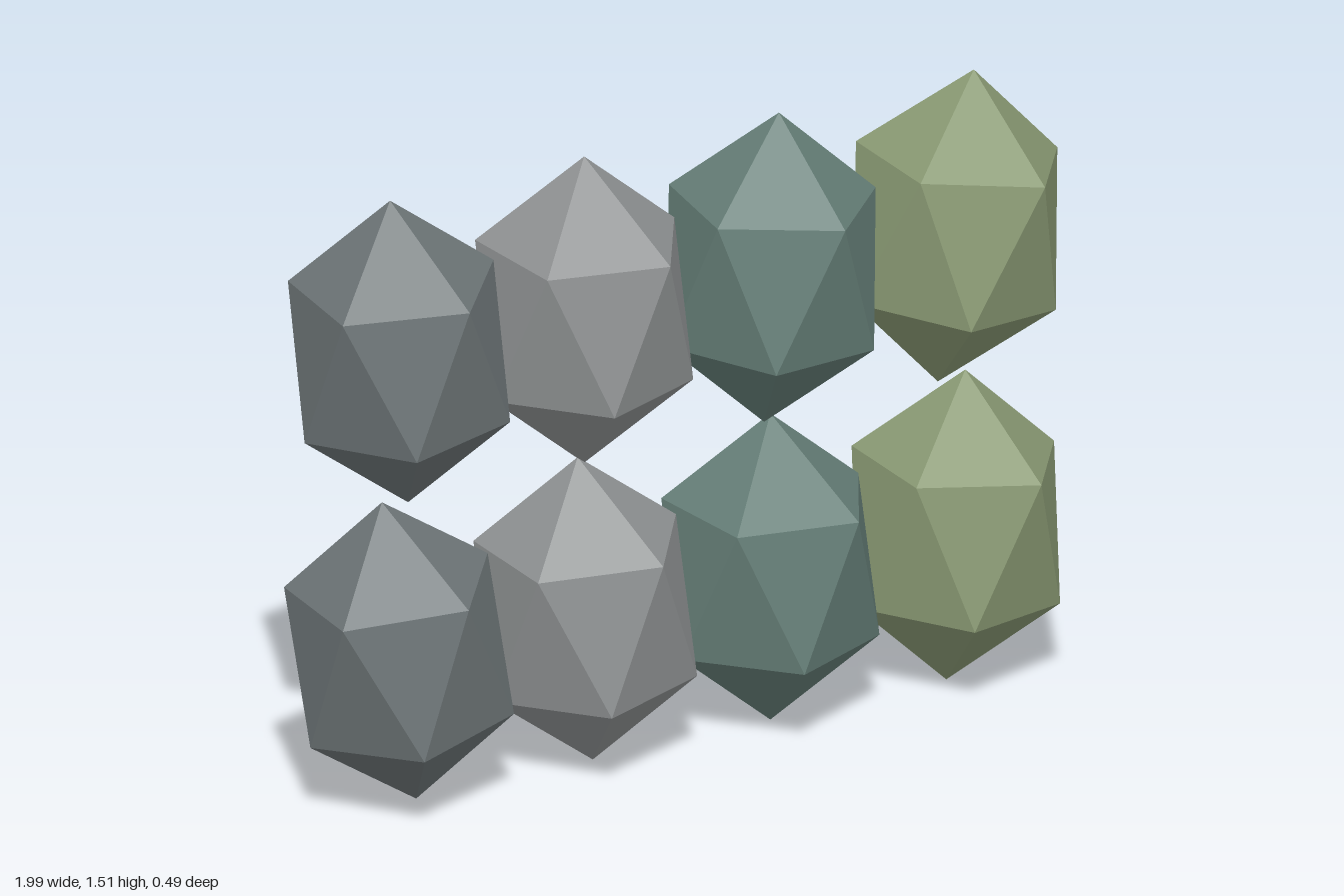
import * as THREE from 'three';

// Each column shares one stone colour
const COLORS = [0x6e7678, 0x909394, 0x667f78, 0x8a9a74];

// Stones: column, centre x, centre y, lean (about z), turn in degrees (about the long axis)
const STONES = [
  [0, -0.755, 1.133, 0.063, 5],
  [1, -0.263, 1.133, 0, -4],
  [2, 0.235, 1.133, -0.052, 8],
  [3, 0.725, 1.133, -0.126, 0],
  [0, -0.755, 0.389, 0.12, 3],
  [1, -0.26, 0.389, 0.053, 0],
  [2, 0.232, 0.389, 0, -6],
  [3, 0.725, 0.389, -0.066, 0],
];

// Icosahedron standing on a vertex, stretched upward
function stoneGeometry() {
  const g = new THREE.IcosahedronGeometry(1, 0);
  g.rotateZ(-Math.atan(2 / (1 + Math.sqrt(5))));
  g.scale(0.28, 0.381, 0.28);
  g.computeVertexNormals();
  return g;
}

export function createModel() {
  const group = new THREE.Group();
  group.name = 'facetedStones';
  const geometry = stoneGeometry();
  const materials = COLORS.map(
    (color) => new THREE.MeshStandardMaterial({ color, flatShading: true })
  );

  STONES.forEach(([column, x, y, lean, turn], i) => {
    const stone = new THREE.Mesh(geometry, materials[column]);
    stone.name = `${i < 4 ? 'upper' : 'lower'}Stone${column + 1}`;
    stone.position.set(x, y, 0);
    // Turn about the long axis first, then lean sideways
    stone.rotation.set(0, -THREE.MathUtils.degToRad(turn), lean, 'ZYX');
    group.add(stone);
  });
  return group;
}
